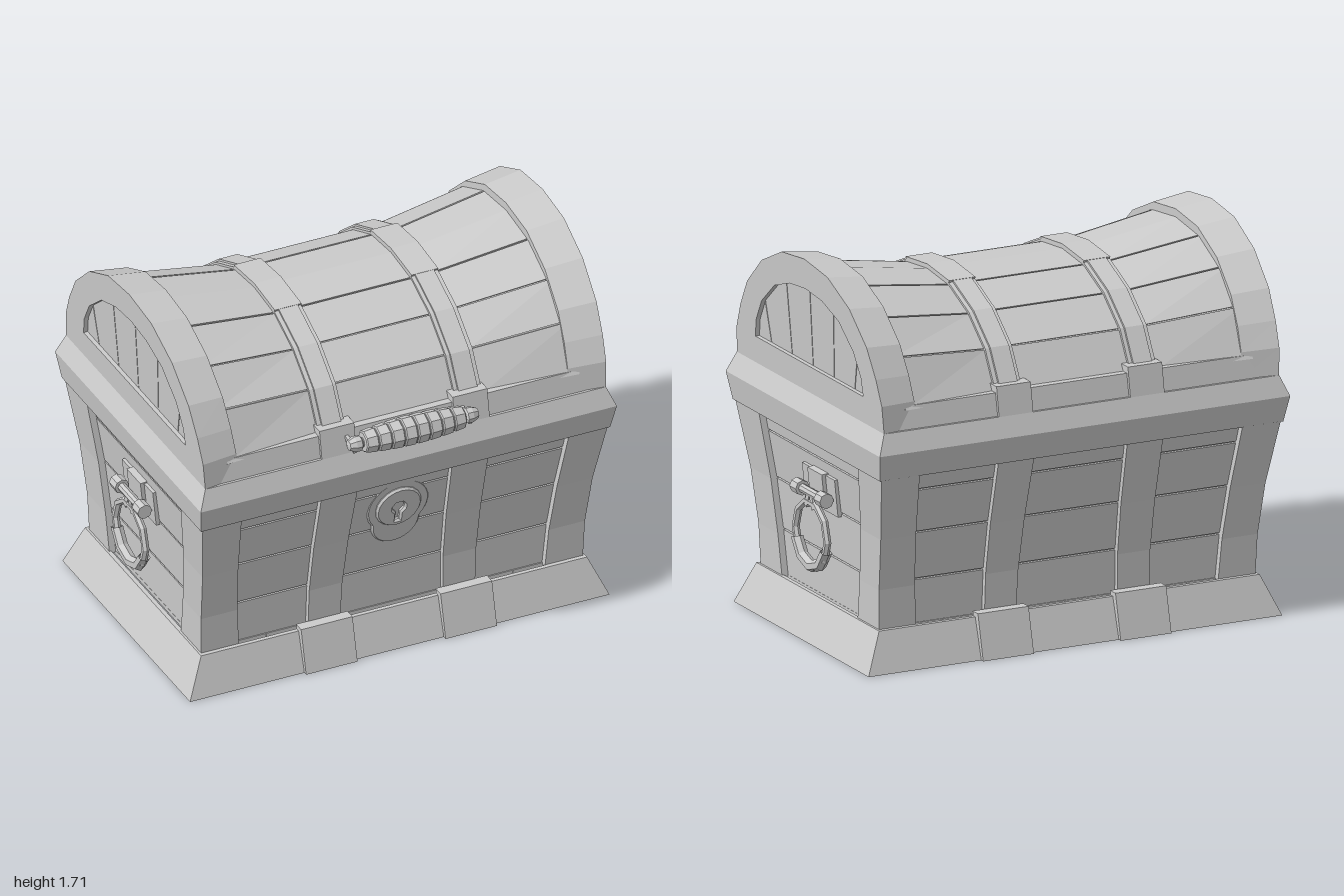
import * as THREE from 'three';

const mat = new THREE.MeshStandardMaterial({ color: 0xcccccc, flatShading: true, side: THREE.DoubleSide });

// Joins equal-length rings of [x, y, z] points; either capped at both ends or joined into a loop.
function loft(rings, loop = false) {
  const n = rings[0].length, tris = [];
  const count = loop ? rings.length : rings.length - 1;
  for (let i = 0; i < count; i++) {
    const a = rings[i], b = rings[(i + 1) % rings.length];
    for (let j = 0; j < n; j++) {
      const k = (j + 1) % n;
      tris.push([a[j], a[k], b[k]], [a[j], b[k], b[j]]);
    }
  }
  if (!loop) {
    const a = rings[0], b = rings[rings.length - 1];
    for (let j = 1; j < n - 1; j++) tris.push([a[0], a[j + 1], a[j]], [b[0], b[j], b[j + 1]]);
  }
  // Signed volume tells whether the faces point outwards
  let vol = 0;
  for (const [p, q, r] of tris) {
    vol += p[0] * (q[1] * r[2] - q[2] * r[1]) + p[1] * (q[2] * r[0] - q[0] * r[2]) + p[2] * (q[0] * r[1] - q[1] * r[0]);
  }
  if (vol < 0) tris.forEach((t) => t.reverse());
  const geo = new THREE.BufferGeometry();
  geo.setAttribute('position', new THREE.Float32BufferAttribute(tris.flat(2), 3));
  geo.computeVertexNormals();
  return geo;
}

const rect = (y, hx, hz) => [[hx, y, hz], [hx, y, -hz], [-hx, y, -hz], [-hx, y, hz]];
const lerp = THREE.MathUtils.lerp;

// Piecewise linear lookup in [position, value] pairs
function look(table, t) {
  let i = 1;
  while (i < table.length - 1 && t > table[i][0]) i++;
  const [a, va] = table[i - 1], [b, vb] = table[i];
  return lerp(va, vb, (t - a) / (b - a));
}

// Half width and half depth of the flaring body
const bodyX = (y) => look([[0.18, 0.91], [0.36, 0.915], [0.6, 0.93], [0.89, 0.965]], y);
const bodyZ = (y) => look([[0.18, 0.555], [0.36, 0.565], [0.6, 0.61], [0.89, 0.685]], y);
const levels = [0.17, 0.36, 0.6, 0.9];

// Full arch from a half profile of [z, y], front to back
const arch = (half) => [...half, ...half.slice(0, -1).reverse().map(([z, y]) => [-z, y])];
const scaled = ([z, y], s) => [z * s, 1.1 + (y - 1.1) * s];
const archOuter = arch([[0.69, 1.1], [0.68, 1.22], [0.635, 1.33], [0.56, 1.455], [0.41, 1.59], [0.215, 1.68], [0, 1.705]]);
const archHole = arch([[0.505, 1.1], [0.505, 1.22], [0.49, 1.3], [0.43, 1.4], [0.3, 1.505], [0.15, 1.555], [0, 1.57]]);
const lidMid = arch([[0.635, 1.18], [0.53, 1.36], [0.38, 1.48], [0.195, 1.56], [0, 1.58]]);
const lidEnd = arch([[0.67, 1.18], [0.565, 1.395], [0.42, 1.535], [0.22, 1.625], [0, 1.65]]);
const endX = (y) => lerp(0.955, 0.985, (y - 1.1) / 0.605);

export function createModel() {
  const group = new THREE.Group();
  const chest = new THREE.Group();
  chest.name = 'chest';
  chest.position.z = -0.05;
  group.add(chest);
  const add = (name, geo, parent = chest) => {
    const mesh = new THREE.Mesh(geo, mat);
    mesh.name = name;
    parent.add(mesh);
    return mesh;
  };
  const box = (name, w, h, d, x, y, z, parent) => {
    const m = add(name, new THREE.BoxGeometry(w, h, d), parent);
    m.position.set(x, y, z);
    return m;
  };

  // Body core with rows of planks around it
  add('bodyCore', loft(levels.map((y) => rect(y, bodyX(y) - 0.045, bodyZ(y) - 0.045))));
  const rows = [0.17, 0.378, 0.602, 0.81, 0.9];
  for (let i = 0; i < 4; i++) {
    const ys = [rows[i] + 0.004, rows[i + 1] - 0.004];
    add('bodyPlanks', loft(ys.map((y) => rect(y, bodyX(y) - 0.03, bodyZ(y) - 0.03))));
  }

  for (const sz of [1, -1]) {
    for (const sx of [1, -1]) {
      // L-shaped corner posts
      add('cornerPost', loft(levels.map((y) => {
        const t = (y - 0.18) / 0.71, X = bodyX(y), Z = bodyZ(y), d = 0.06;
        const xi = lerp(0.73, 0.78, t), zi = lerp(0.355, 0.465, t);
        return [[X, Z], [X, zi], [X - d, zi], [X - d, Z - d], [xi, Z - d], [xi, Z]].map(([x, z]) => [sx * x, y, sz * z]);
      })));
      // Upright bands and their feet on the plinth
      add('bodyBand', loft(levels.map((y) => {
        const xi = lerp(0.245, 0.225, (y - 0.18) / 0.71), Z = bodyZ(y) - 0.004;
        return [[xi, Z], [0.398, Z], [0.398, Z - 0.06], [xi, Z - 0.06]].map(([x, z]) => [sx * x, y, sz * z]);
      })));
      add('bandFoot', loft([[0, 0.65], [0.2, 0.6]].map(([y, z]) =>
        [[0.21, z], [0.455, z], [0.455, z - 0.05], [0.21, z - 0.05]].map(([x, w]) => [sx * x, y, sz * w]))));
      // Clasp at the foot of each lid band
      add('lidBandFoot', loft([[1.1, 0.692], [1.23, 0.668]].map(([y, z]) =>
        [[0.235, z], [0.4, z], [0.4, z - 0.07], [0.235, z - 0.07]].map(([x, w]) => [sx * x, y, sz * w]))));
    }
  }

  // Thin hollow plinth, with the floor raised inside it
  add('plinth', loft([rect(0, 1, 0.632), rect(0.18, 0.92, 0.575), rect(0.18, 0.9, 0.555), rect(0, 0.985, 0.617)], true));
  for (let i = 0; i < 6; i++) box('floorBoard', 0.292, 0.02, 1.06, -0.735 + i * 0.294, 0.168, 0);
  for (const s of [1, -1]) box('floorBand', 0.16, 0.03, 1.1, s * 0.32, 0.156, 0);

  // Rim of the body and frame of the lid
  add('rim', loft([rect(0.89, 0.975, 0.69), rect(1.01, 0.992, 0.722), rect(1.1, 0.955, 0.69)]));
  add('lidFrame', loft([rect(1.09, 0.952, 0.68), rect(1.2, 0.956, 0.658)]));

  // Sagging barrel lid: core and long planks
  const stations = [[-0.84, 1], [-0.385, 0], [0.385, 0], [0.84, 1]];
  const lidPoint = (i, e) => [lerp(lidMid[i][0], lidEnd[i][0], e), lerp(lidMid[i][1], lidEnd[i][1], e)];
  add('lidCore', loft(stations.map(([x, e]) => lidMid.map((_, i) => {
    const [z, y] = scaled(lidPoint(i, e), 0.98);
    return [x, y, z];
  }))));
  for (const ids of [[0, 1], [1, 2], [2, 3], [3, 4, 5], [5, 6], [6, 7], [7, 8]]) {
    add('lidPlank', loft(stations.map(([x, e]) => {
      const top = ids.map((i) => lidPoint(i, e));
      const a = top[0], b = top[top.length - 1];
      const mix = (p, q) => [lerp(p[0], q[0], 0.015), lerp(p[1], q[1], 0.015)];
      const edge = [mix(a, b), ...top.slice(1, -1), mix(b, a)];
      return [...edge, ...edge.map((p) => scaled(p, 0.95)).reverse()].map(([z, y]) => [x, y, z]);
    })));
  }

  for (const s of [1, -1]) {
    // Strap over the lid: wide base, narrow rib and a wide cap on the crown
    const strap = (name, x0, x1, scale, pts) => add(name, loft(pts.map((p) => {
      const [zo, yo] = scaled(p, scale), [zi, yi] = scaled(p, 0.95);
      return [[s * x0, yo, zo], [s * x1, yo, zo], [s * x1, yi, zi], [s * x0, yi, zi]];
    })));
    strap('lidBand', 0.262, 0.39, 1.022, lidMid);
    strap('lidBandRib', 0.28, 0.37, 1.04, lidMid);
    strap('lidBandCap', 0.262, 0.39, 1.043, lidMid.slice(3, 6));

    // Arched end of the lid, open to a recessed panel
    add('lidArch', loft(archOuter.map((p, i) => {
      const [zq, yq] = archHole[i], [zi, yi] = scaled(p, 0.962);
      const xi = lerp(0.785, 0.81, (p[1] - 1.1) / 0.6);
      return [[endX(p[1]), p[1], p[0]], [xi, yi, zi], [xi, yq, zq], [endX(yq), yq, zq]].map(([x, y, z]) => [s * x, y, z]);
    })));
    add('endSill', loft([1.1, 1.22].map((y) =>
      [[0.85, 0.51], [endX(y), 0.51], [endX(y), -0.51], [0.85, -0.51]].map(([x, z]) => [s * x, y, z]))));
    // Fanned boards of the end panel
    const cuts = [-0.52, -0.385, -0.195, 0, 0.195, 0.385, 0.52];
    const crown = [...archHole].slice(1, -1).reverse();
    for (let i = 0; i < 6; i++) {
      const a = cuts[i] + 0.002, b = cuts[i + 1] - 0.002;
      const topAt = (t) => {
        const z = lerp(a, b, t) * 1.13;
        return [z, look(crown, THREE.MathUtils.clamp(z, -0.5, 0.5)) + 0.015];
      };
      const outline = [[a, 1.2], [b, 1.2], topAt(1), topAt(0.5), topAt(0)];
      add('endBoard', loft([0.02, 0.07].map((d) => outline.map(([z, y]) => [s * (endX(y) - d), y, z]))));
    }
  }

  // Lock plate with a raised keyhole disc
  const lock = new THREE.Group();
  lock.name = 'lock';
  lock.position.set(0, 0.72, 0.595);
  lock.rotation.x = 0.22;
  chest.add(lock);
  const keyhole = () => new THREE.Path([
    [-0.018, -0.085], [0.018, -0.085], [0.018, -0.035], [0.036, -0.015], [0.036, 0.01], [0.018, 0.033],
    [-0.018, 0.033], [-0.036, 0.01], [-0.036, -0.015], [-0.018, -0.035],
  ].map(([x, y]) => new THREE.Vector2(x, y)));
  const plate = new THREE.Shape();
  plate.absarc(0, 0, 0.14, -0.7, Math.PI + 0.7, false);
  plate.absarc(0, -0.1, 0.107, Math.PI, 2 * Math.PI, false);
  plate.holes.push(keyhole());
  const bevel = { bevelEnabled: true, bevelSize: 0.01, bevelThickness: 0.01, bevelSegments: 1, curveSegments: 10 };
  add('lockPlate', new THREE.ExtrudeGeometry(plate, { ...bevel, depth: 0.03 }), lock).position.z = -0.02;
  const disc = new THREE.Shape().absarc(0, 0, 0.1, 0, Math.PI * 2, false);
  disc.holes.push(keyhole());
  add('keyholeDisc', new THREE.ExtrudeGeometry(disc, { ...bevel, depth: 0.012, bevelSize: 0.008 }), lock).position.z = 0.012;

  // Front grip: grooved barrel between two knobs
  const grip = new THREE.Group();
  grip.name = 'frontGrip';
  grip.position.set(0, 1.185, 0.76);
  chest.add(grip);
  const profile = [new THREE.Vector2(0, -0.24)];
  for (let i = 0; i < 8; i++) {
    const x0 = -0.24 + i * 0.06;
    for (const [dx, groove] of [[0.002, 0.005], [0.007, 0], [0.053, 0], [0.058, 0.005]]) {
      const x = x0 + dx;
      profile.push(new THREE.Vector2(0.067 - 0.3 * x * x - groove, x));
    }
  }
  profile.push(new THREE.Vector2(0, 0.24));
  add('gripBarrel', new THREE.LatheGeometry(profile, 8), grip).rotation.z = Math.PI / 2;
  for (const s of [1, -1]) {
    const knob = [[0, 0], [0.022, 0], [0.022, 0.015], [0.036, 0.025], [0.036, 0.05], [0.024, 0.078], [0, 0.084]];
    const mesh = add('gripKnob', new THREE.LatheGeometry(knob.map(([r, h]) => new THREE.Vector2(r, h)), 8), grip);
    mesh.position.x = s * 0.228;
    mesh.rotation.z = -s * Math.PI / 2;
    box('gripArm', 0.016, 0.022, 0.13, s * 0.275, -0.02, -0.06, grip).rotation.x = 0.25;
  }

  // Side ring handles
  for (const s of [1, -1]) {
    const side = new THREE.Group();
    side.name = 'sideHandle';
    side.position.set(s * 0.965, 0.66, -0.03);
    if (s < 0) side.rotation.y = Math.PI;
    chest.add(side);
    box('handlePlate', 0.035, 0.17, 0.305, -0.058, 0.01, 0, side).rotation.z = -0.1;
    box('handleHinge', 0.05, 0.14, 0.135, -0.046, 0.03, 0, side).rotation.z = -0.1;
    add('handleRod', new THREE.CylinderGeometry(0.02, 0.02, 0.2, 8), side).rotation.x = Math.PI / 2;
    for (const e of [1, -1]) {
      const knob = add('handleKnob', new THREE.CylinderGeometry(0.034, 0.034, 0.058, 8), side);
      knob.rotation.x = Math.PI / 2;
      knob.position.z = e * 0.113;
      // Neck linking ring and rod
      const neck = box('ringNeck', 0.026, 0.075, 0.024, 0, -0.03, e * 0.022, side);
      neck.rotation.x = -e * 0.4;
    }
    const ring = add('ring', new THREE.TorusGeometry(0.148, 0.017, 6, 10), side);
    ring.rotation.y = Math.PI / 2;
    ring.position.y = -0.185;
    const weight = add('ringGrip', new THREE.TorusGeometry(0.143, 0.027, 6, 4, Math.PI * 0.8), side);
    weight.rotation.set(0, Math.PI / 2, Math.PI * 1.1);
    weight.position.y = -0.185;
  }
  return group;
}
